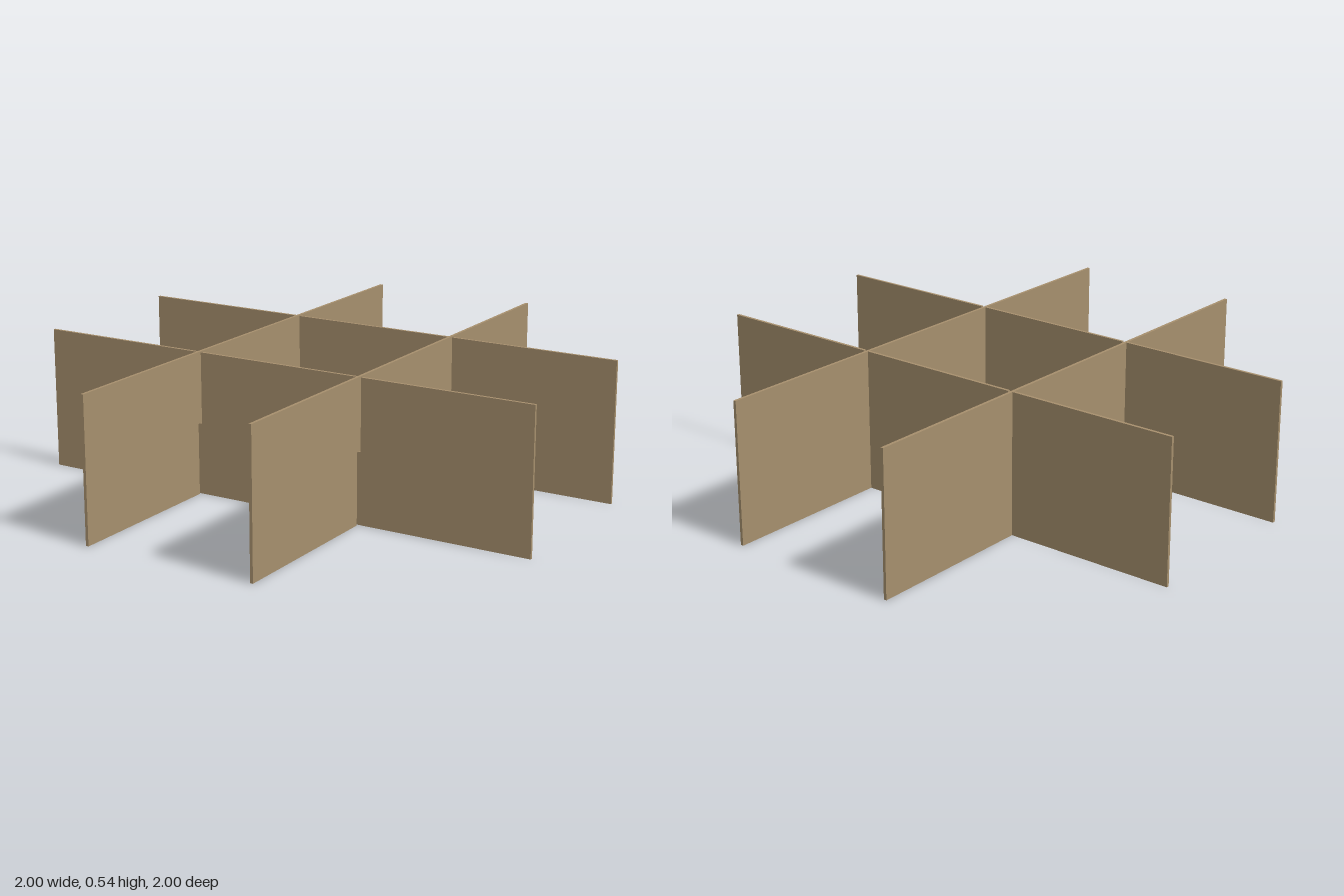
import * as THREE from 'three';

const HEIGHT = 0.535, THICK = 0.011, SLOT = 0.02;
// Lower edge of each crossing; boards rest against this side of the wider slots.
const CROSSINGS = [-0.345, 0.323];

// Long board with half-height slots cut from its top or bottom edge.
function boardGeometry(slotsOnTop) {
  const edge = slotsOnTop ? HEIGHT : 0;
  const slots = slotsOnTop ? [...CROSSINGS].reverse() : CROSSINGS;
  const points = [];
  if (slotsOnTop) points.push([-1, 0], [1, 0], [1, HEIGHT]);
  else points.push([1, HEIGHT], [-1, HEIGHT], [-1, 0]);
  for (const s of slots) {
    const [a, b] = slotsOnTop ? [s + SLOT, s] : [s, s + SLOT];
    points.push([a, edge], [a, HEIGHT / 2], [b, HEIGHT / 2], [b, edge]);
  }
  points.push(slotsOnTop ? [-1, HEIGHT] : [1, 0]);
  const shape = new THREE.Shape(points.map(([x, y]) => new THREE.Vector2(x, y)));
  return new THREE.ExtrudeGeometry(shape, { depth: THICK, bevelEnabled: false });
}

export function createModel() {
  const model = new THREE.Group();
  model.name = 'slottedDivider';
  const card = new THREE.MeshStandardMaterial({ color: 0xa68f6d });

  // Boards running side to side, slotted from above
  const acrossGeometry = boardGeometry(true);
  // Boards running front to back, slotted from below
  const lengthwiseGeometry = boardGeometry(false).rotateY(-Math.PI / 2).translate(THICK, 0, 0);

  CROSSINGS.forEach((offset, i) => {
    const across = new THREE.Mesh(acrossGeometry, card);
    across.name = ['backBoard', 'frontBoard'][i];
    across.position.z = offset;
    const lengthwise = new THREE.Mesh(lengthwiseGeometry, card);
    lengthwise.name = ['rightBoard', 'leftBoard'][i];
    lengthwise.position.x = offset;
    model.add(across, lengthwise);
  });
  return model;
}
